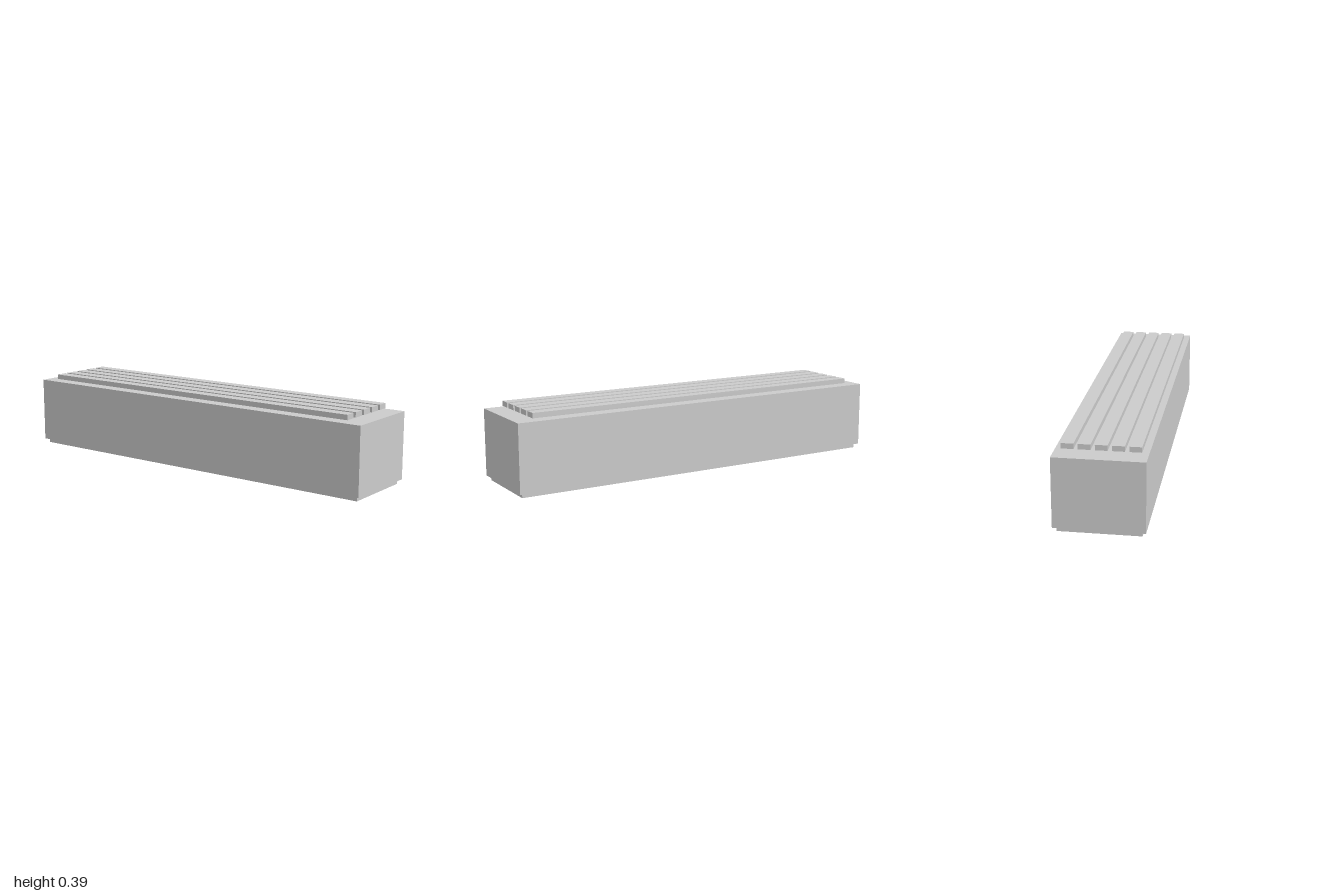
import * as THREE from 'three';

const material = new THREE.MeshStandardMaterial({ color: 0xcccccc, side: THREE.DoubleSide, flatShading: true });

// Box standing on y0; the faces listed in skip (order +x -x +y -y +z -z) are left open
function box(name, width, depth, y0, y1, x = 0, skip = []) {
  const geometry = new THREE.BoxGeometry(width, y1 - y0, depth);
  const index = Array.from(geometry.index.array);
  geometry.setIndex(index.filter((_, i) => !skip.includes(Math.floor(i / 6))));
  geometry.clearGroups();
  const mesh = new THREE.Mesh(geometry, material);
  mesh.name = name;
  mesh.position.set(x, (y0 + y1) / 2, 0);
  return mesh;
}

function rectangle(target, width, depth) {
  const w = width / 2, d = depth / 2;
  target.moveTo(-w, -d).lineTo(w, -d).lineTo(w, d).lineTo(-w, d).closePath();
  return target;
}

export function createModel() {
  const model = new THREE.Group();
  model.name = 'slattedHousing';

  const bodyW = 0.415, bodyD = 2, skirtW = 0.38, skirtD = 1.966;
  const ledgeY = 0.022, bodyTop = 0.354;

  // Hollow housing, open underneath
  model.add(box('housing', bodyW, bodyD, ledgeY, bodyTop, 0, [3]));

  // Inset skirt, open at top and bottom
  model.add(box('baseSkirt', skirtW, skirtD, 0, ledgeY, 0, [2, 3]));

  // Narrow ledge joining housing and skirt
  const shape = rectangle(new THREE.Shape(), bodyW, bodyD);
  shape.holes.push(rectangle(new THREE.Path(), skirtW, skirtD));
  const ledge = new THREE.Mesh(new THREE.ShapeGeometry(shape).rotateX(Math.PI / 2), material);
  ledge.name = 'baseLedge';
  ledge.position.y = ledgeY;
  model.add(ledge);

  // Five long slats hovering just above the top
  const slats = new THREE.Group();
  slats.name = 'topSlats';
  for (let i = -2; i <= 2; i++) {
    slats.add(box('slat', 0.056, 1.83, 0.363, 0.388, i * 0.075));
  }
  model.add(slats);

  return model;
}
